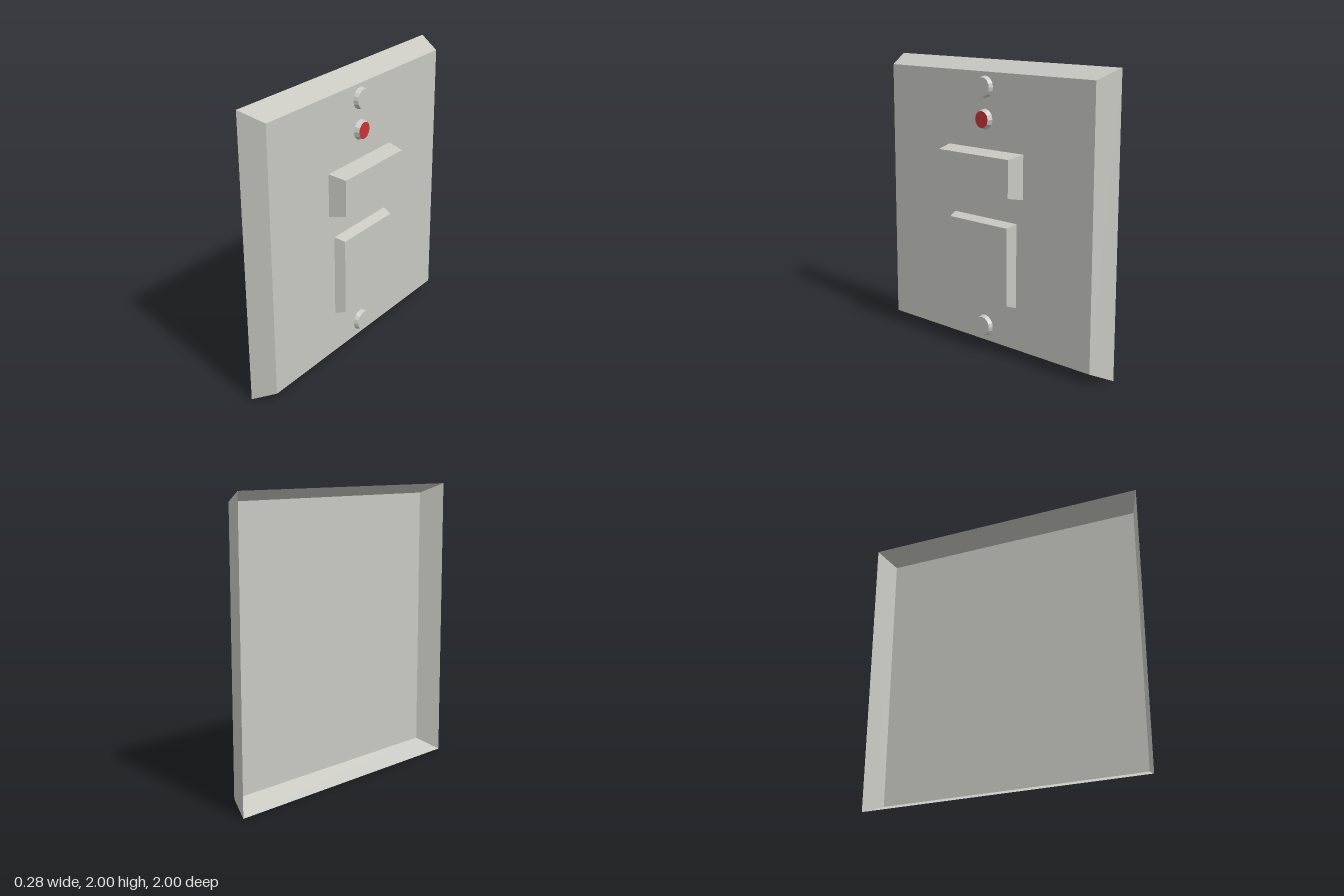
import * as THREE from 'three';

export function createModel() {
  const group = new THREE.Group();
  group.name = 'wallPlate';
  const grey = new THREE.MeshStandardMaterial({ color: 0xc9c9c2, side: THREE.DoubleSide });
  grey.name = 'plate grey';
  const red = new THREE.MeshStandardMaterial({ color: 0xcc3334 });
  red.name = 'indicator red';

  // Tapered block rising along +x, open at its back; inset narrows the raised face
  function taperedBlock(name, x0, x1, y0, y1, halfZ, inset) {
    const height = y1 - y0;
    const geo = new THREE.BoxGeometry(x1 - x0, height, 2 * halfZ);
    geo.translate((x0 + x1) / 2, 0, 0);
    const p = geo.attributes.position;
    for (let i = 0; i < p.count; i++) {
      if (p.getX(i) < (x0 + x1) / 2) continue;
      p.setY(i, p.getY(i) - Math.sign(p.getY(i)) * inset);
      p.setZ(i, p.getZ(i) - Math.sign(p.getZ(i)) * inset);
    }
    // Leave out the back face (second side of the box)
    const index = Array.from(geo.index.array);
    index.splice(6, 6);
    geo.setIndex(index);
    geo.clearGroups();
    geo.computeVertexNormals();
    const mesh = new THREE.Mesh(geo, grey);
    mesh.name = name;
    mesh.position.y = (y0 + y1) / 2;
    group.add(mesh);
  }

  // Faceted button with a slightly smaller end cap
  function button(name, y, rBase, rCap, depth, sides, capMaterial) {
    const part = new THREE.Group();
    part.name = name;
    const wall = new THREE.CylinderGeometry(rCap, rBase, depth, sides, 1, true).toNonIndexed();
    wall.computeVertexNormals();
    wall.rotateZ(-Math.PI / 2);
    wall.translate(depth / 2, 0, 0);
    const rim = new THREE.Mesh(wall, grey);
    rim.name = name + 'Rim';
    const disc = new THREE.CylinderGeometry(rCap, rCap, 0.002, sides);
    disc.rotateZ(-Math.PI / 2);
    disc.translate(depth - 0.001, 0, 0);
    const cap = new THREE.Mesh(disc, capMaterial);
    cap.name = name + 'Cap';
    part.add(rim, cap);
    part.position.set(0.02, y, 0);
    group.add(part);
  }

  // Hollow bevelled cover and its two raised blocks
  taperedBlock('coverPlate', -0.14, 0.02, 0, 2, 1, 0.07);
  taperedBlock('upperBlock', 0.02, 0.14, 1.115, 1.415, 0.347, 0.023);
  taperedBlock('lowerBlock', 0.02, 0.09, 0.365, 0.945, 0.291, 0.023);

  // Screws and indicator lamp
  button('topScrew', 1.83, 0.074, 0.064, 0.03, 16, grey);
  button('indicatorLamp', 1.615, 0.07, 0.058, 0.035, 12, red);
  button('bottomScrew', 0.177, 0.074, 0.064, 0.03, 16, grey);

  return group;
}
